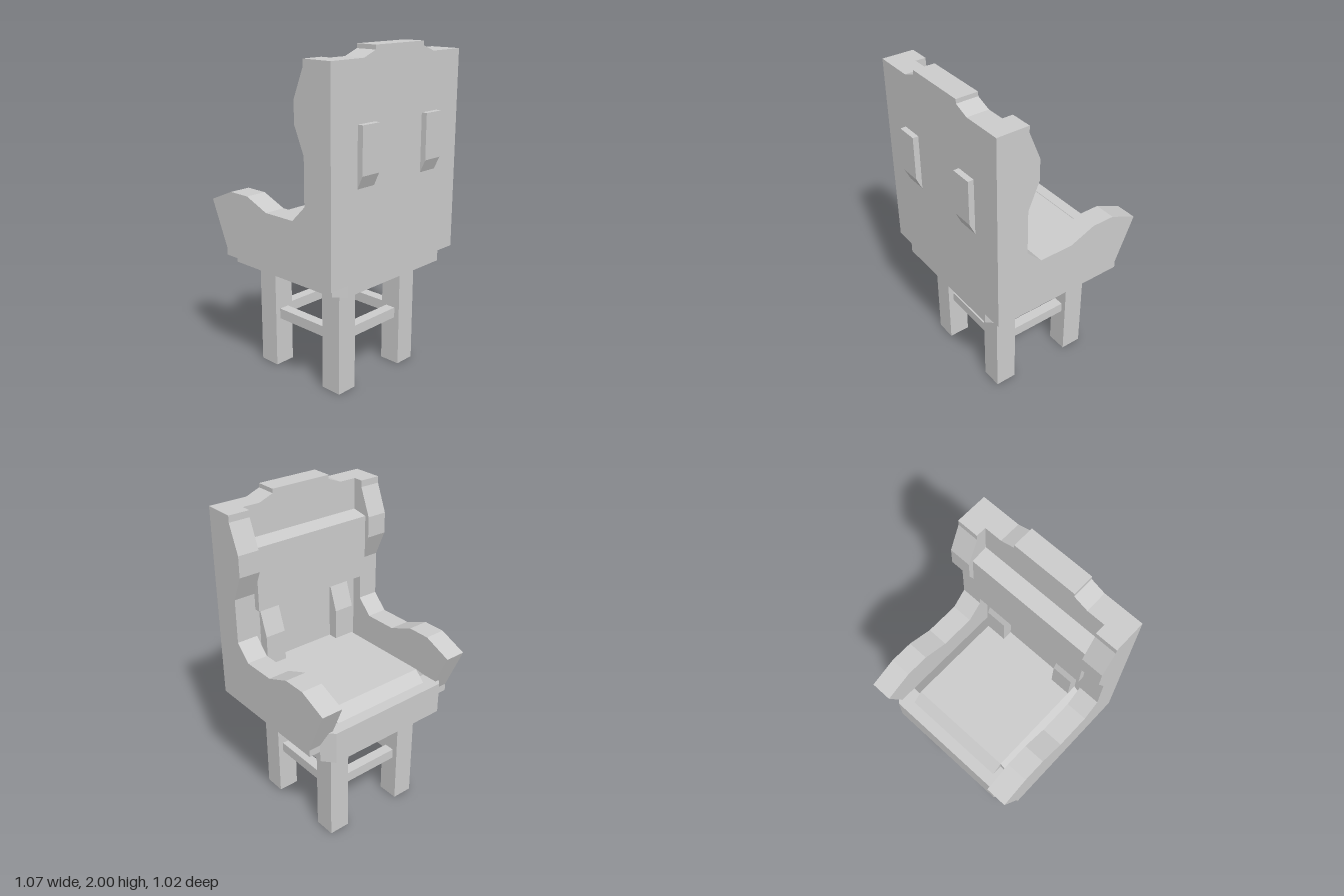
import * as THREE from 'three';

const material = new THREE.MeshStandardMaterial({ color: 0xcccccc, flatShading: true });

function extrude(points, depth) {
  const shape = new THREE.Shape(points.map(([a, b]) => new THREE.Vector2(a, b)));
  return new THREE.ExtrudeGeometry(shape, { depth, bevelEnabled: false });
}

export function createModel() {
  const model = new THREE.Group();
  const add = (name, geometry) => {
    const mesh = new THREE.Mesh(geometry, material);
    mesh.name = name;
    model.add(mesh);
  };
  const box = (name, x0, x1, y0, y1, z0, z1) =>
    add(name, new THREE.BoxGeometry(x1 - x0, y1 - y0, z1 - z0)
      .translate((x0 + x1) / 2, (y0 + y1) / 2, (z0 + z1) / 2));
  // Side profile given as [z, y], swept from x0 to x1
  const sideProfile = (name, points, x0, x1) =>
    add(name, extrude(points, x1 - x0).rotateY(-Math.PI / 2).translate(x1, 0, 0));
  const mirrored = (name, points, x0, x1) => {
    sideProfile(name + 'Left', points, x0, x1);
    sideProfile(name + 'Right', points, -x1, -x0);
  };

  // Seat base with chamfered corners, plan given as [x, z]
  const plan = [
    [-0.4, -0.46], [0.4, -0.46], [0.46, -0.39], [0.46, 0.41],
    [0.4, 0.474], [-0.4, 0.474], [-0.46, 0.41], [-0.46, -0.39],
  ];
  add('seatBase', extrude(plan, 0.2).rotateX(Math.PI / 2).translate(0, 0.87, 0));

  // Seat cushion with sloping sides and a sloping front edge
  add('seatCushion', extrude(
    [[-0.4, 0.87], [0.4, 0.87], [0.333, 0.935], [-0.333, 0.935]], 0.68).translate(0, 0, -0.325));
  sideProfile('cushionFrontEdge', [[-0.39, 0.87], [-0.325, 0.87], [-0.325, 0.935]], -0.333, 0.333);

  // Back panel with a raised crest
  add('backPanel', extrude([
    [-0.4, 0.735], [0.4, 0.735], [0.4, 1.94], [0.29, 1.94], [0.2, 1.975], [0.2, 2],
    [-0.2, 2], [-0.2, 1.975], [-0.29, 1.94], [-0.4, 1.94],
  ], 0.132).translate(0, 0, 0.343));

  // Wings and armrests in one side panel
  mirrored('armAndWing', [
    [0.475, 0.735], [0.475, 1.94], [0.28, 1.94], [0.28, 1.9], [0.21, 1.73], [0.21, 1.6],
    [0.28, 1.44], [0.28, 1.165], [0.185, 1.07], [-0.03, 1.07], [-0.19, 1.135],
    [-0.335, 1.135], [-0.51, 1.06], [-0.39, 0.78], [-0.39, 0.735],
  ], 0.4, 0.533);

  // Upper back cushion
  sideProfile('backCushion',
    [[0.35, 1.34], [0.24, 1.34], [0.24, 1.73], [0.35, 1.75]], -0.4, 0.4);

  // Lower back supports and rear blocks
  mirrored('backSupport',
    [[0.35, 0.9], [0.28, 0.9], [0.28, 1.13], [0.345, 1.32], [0.35, 1.32]], 0.2, 0.333);
  mirrored('rearBlock',
    [[0.47, 1.26], [0.475, 1.26], [0.51, 1.335], [0.51, 1.605], [0.47, 1.605]], 0.2, 0.333);

  // Legs
  for (const [x0, x1] of [[-0.333, -0.2], [0.2, 0.333]]) {
    box('frontLeg', x0, x1, 0, 0.68, -0.325, -0.19);
    box('rearLeg', x0, x1, 0, 0.68, 0.21, 0.345);
    const x = (x0 + x1) / 2;
    box('sideStretcher', x - 0.033, x + 0.033, 0.305, 0.37, -0.19, 0.21);
  }
  // Front and rear stretchers
  for (const z of [-0.257, 0.277]) box('crossStretcher', -0.2, 0.2, 0.305, 0.37, z - 0.033, z + 0.033);

  return model;
}
